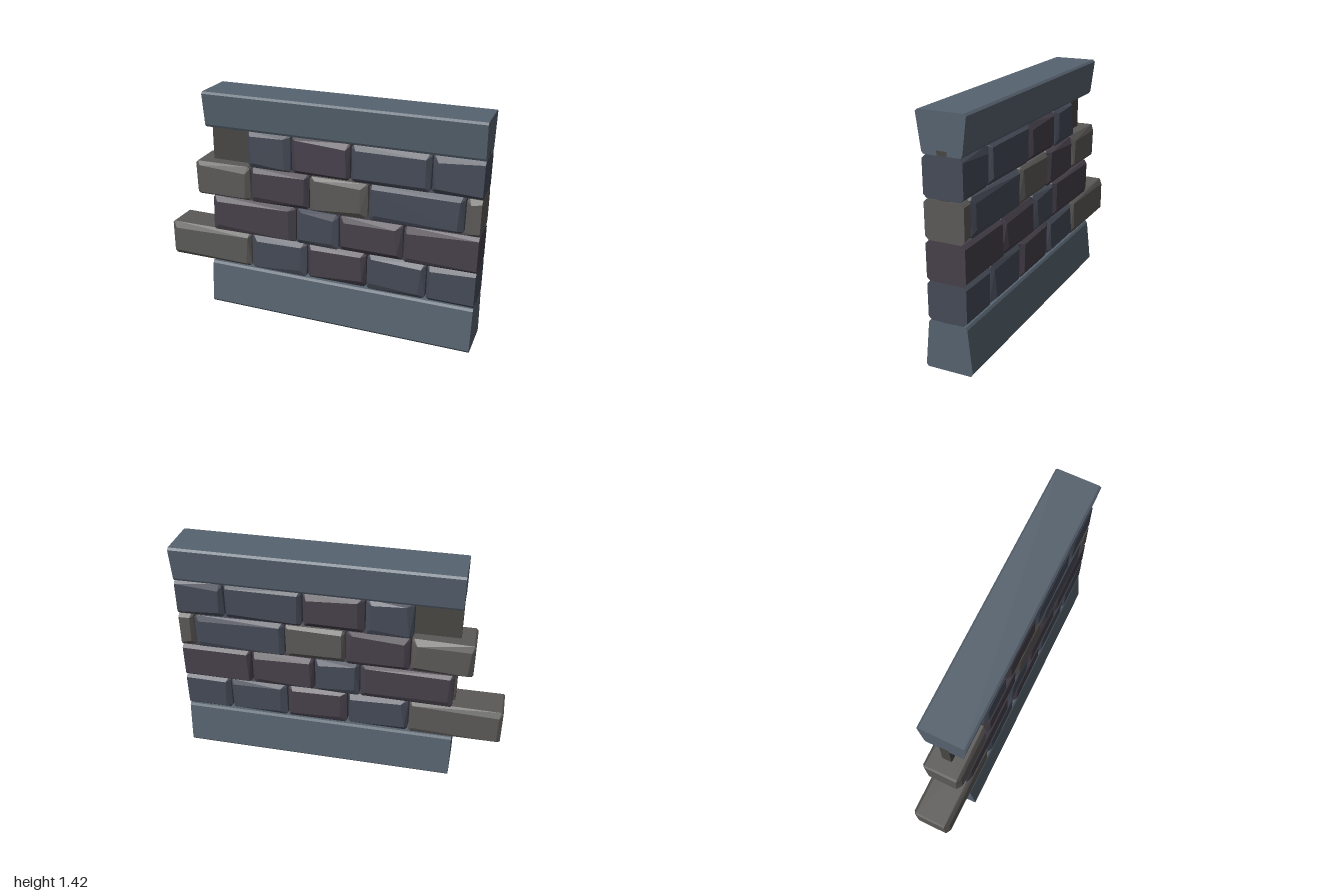
import * as THREE from 'three';
import { ConvexGeometry } from 'three/addons/geometries/ConvexGeometry.js';

const LEFT = -0.705, RIGHT = 1;
const paint = (color) => new THREE.MeshStandardMaterial({ color, flatShading: true });

// Small seeded generator for the chipped look of the bricks
let seed = 11;
const rand = (a, b) => {
  seed = (seed * 16807) % 2147483647;
  return a + (b - a) * (seed / 2147483647);
};

// Extrudes a symmetric (half-depth, height) profile along x
function rail(name, half, material) {
  const pts = [...half, ...half.map(([z, y]) => [-z, y]).reverse()];
  const shape = new THREE.Shape(pts.map(([z, y]) => new THREE.Vector2(z, y)));
  const geo = new THREE.ExtrudeGeometry(shape, { depth: RIGHT - LEFT, bevelEnabled: false });
  geo.rotateY(Math.PI / 2).translate(LEFT, 0, 0);
  const mesh = new THREE.Mesh(geo, material);
  mesh.name = name;
  return mesh;
}

// Box with irregular chamfers; a cut brick keeps a flat right end
function brick(x0, x1, y0, y1, material) {
  const hz = 0.116, pts = [];
  const cut = x1 === RIGHT;
  for (const sx of [0, 1]) for (const sy of [0, 1]) for (const sz of [-1, 1]) {
    const flat = cut && sx === 1;
    const put = (dx, dy, dz) => pts.push(new THREE.Vector3(
      sx ? x1 - (flat ? 0 : dx) : x0 + dx,
      sy ? y1 - dy : y0 + dy,
      sz * (hz - dz)));
    const edge = rand(0.008, 0.016), depth = rand(0.015, 0.03);
    if (flat) {
      put(0, 0.02, 0);
      put(0, 0, 0.02);
    } else {
      put(rand(0.016, 0.045), rand(0.014, 0.045), 0);
      put(0, edge, depth);
      put(edge, 0, depth);
    }
  }
  const mesh = new THREE.Mesh(new ConvexGeometry(pts), material);
  mesh.name = 'brick';
  return mesh;
}

export function createModel() {
  const wall = new THREE.Group();
  wall.name = 'brickWall';
  const slate = paint(0x56626e);
  const colors = { b: paint(0x454a56), p: paint(0x46404a), g: paint(0x5a5957) };

  // Base and coping, tapered toward the bricks
  wall.add(rail('base',
    [[0.13, 0], [0.142, 0.015], [0.116, 0.27], [0.107, 0.285]], slate));
  wall.add(rail('coping',
    [[0.029, 1.222], [0.029, 1.197], [0.107, 1.197], [0.116, 1.212], [0.142, 1.408], [0.13, 1.42]], slate));

  // Thin mortar slab behind the bricks
  const core = new THREE.Mesh(
    new THREE.BoxGeometry(RIGHT - LEFT - 0.002, 0.942, 0.058), paint(0x484643));
  core.position.set((LEFT + RIGHT) / 2, 0.751, 0);
  core.name = 'mortarCore';
  wall.add(core);

  // Courses: bottom, top, brick edges along x and colour of each brick
  const courses = [
    [0.287, 0.515, [-1, -0.43, -0.047, 0.338, 0.708, 1], 'gbpbb'],
    [0.512, 0.741, [-0.69, -0.122, 0.161, 0.56, 1], 'pbpp'],
    [0.743, 0.965, [-0.795, -0.422, -0.032, 0.34, 0.908, 1], 'gpgbg'],
    [0.968, 1.195, [-0.43, -0.148, 0.227, 0.706, 1], 'bpbb'],
  ];
  courses.forEach(([y0, y1, xs, tones], row) => {
    const course = new THREE.Group();
    course.name = `brickCourse${row + 1}`;
    [...tones].forEach((tone, i) => {
      const end = xs[i + 1] === RIGHT ? RIGHT : xs[i + 1] - 0.004;
      course.add(brick(xs[i] + (i ? 0.004 : 0), end, y0, y1, colors[tone]));
    });
    wall.add(course);
  });
  return wall;
}
